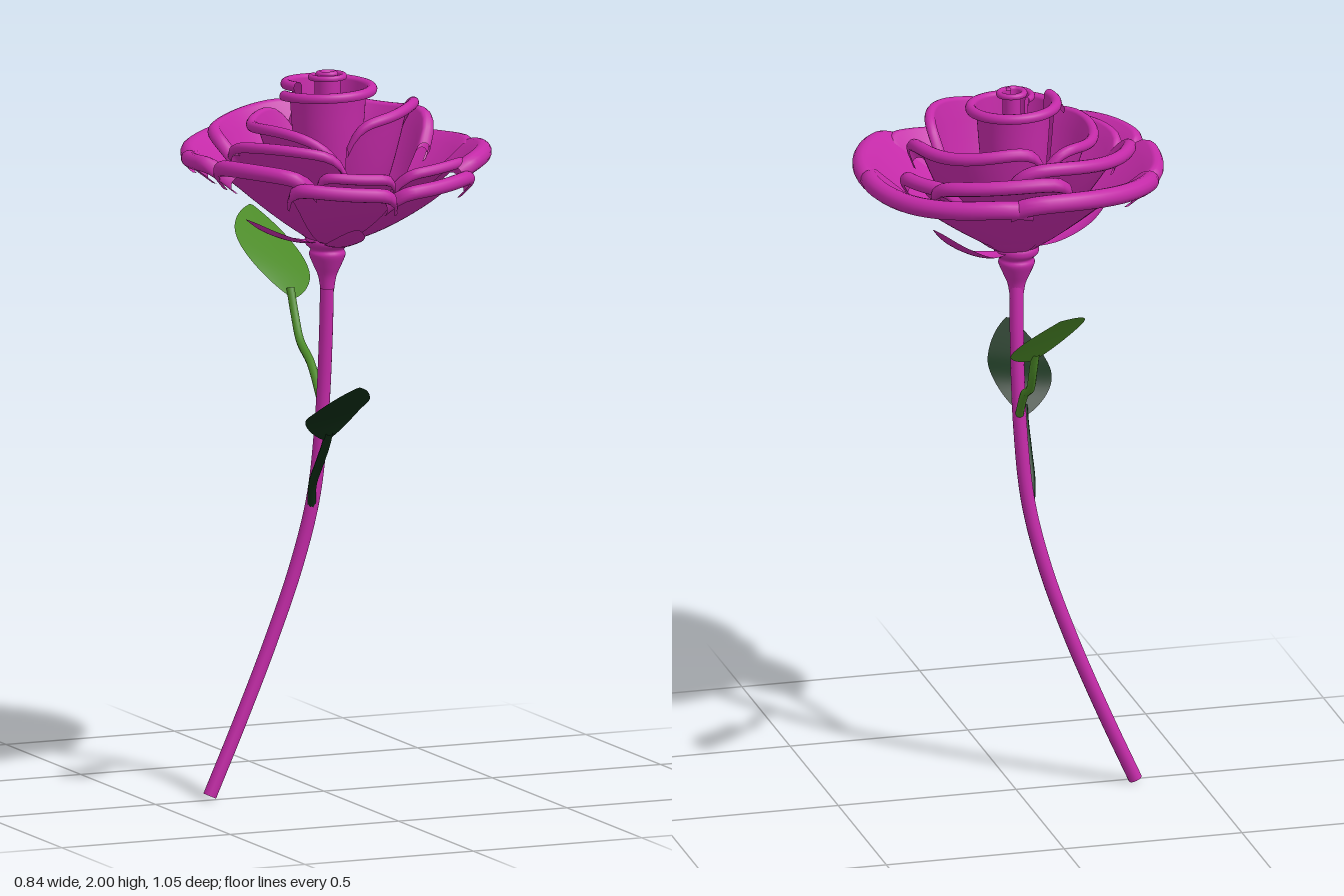
import * as THREE from 'three';

const material = (color) => new THREE.MeshStandardMaterial({ color, side: THREE.DoubleSide });
const V = (x, y, z) => new THREE.Vector3(x, y, z);
const path = (...pts) => new THREE.CatmullRomCurve3(pts.map((p) => V(...p)));
const DEG = Math.PI / 180;

// Surface from a rule: fn(i, j) gives the point of row i, column j
function grid(rows, cols, fn) {
  const pos = [], index = [];
  for (let i = 0; i <= rows; i++) {
    for (let j = 0; j <= cols; j++) {
      pos.push(...fn(i, j).toArray());
      if (i < rows && j < cols) {
        const a = i * (cols + 1) + j, b = a + cols + 1;
        index.push(a, b, a + 1, b, b + 1, a + 1);
      }
    }
  }
  const g = new THREE.BufferGeometry();
  g.setAttribute('position', new THREE.Float32BufferAttribute(pos, 3));
  g.setIndex(index);
  g.computeVertexNormals();
  return g;
}

// Petal: a cup sector between two angles, with rounded corners and a rolled lip.
// Its radius runs from R0 to R1, and p bends the profile from cone to cup.
function petalGeometry({ a0, a1, R0, R1 = R0, H, p = 1.2, lip = 0.015, round = 0.16, y0 = 1.53, r0 = 0.03, drop = 0, center = [0, 0.08] }) {
  const rows = Math.max(16, Math.ceil((a1 - a0) / 5)), wall = 14, roll = 8;
  return grid(rows, wall + roll, (i, j) => {
    const u = i / rows, e = Math.abs(2 * u - 1);
    const a = (a0 + (a1 - a0) * u) * DEG;
    const k = 1 - round * e ** 7;
    const R = R0 + (R1 - R0) * u;
    const top = H - drop * u + (round ? 0.012 * Math.sin(3 * a) : 0);
    const v = k * Math.min(1, j / wall);
    let r = r0 + (R - r0) * v;
    let y = y0 + (top - y0) * v ** p;
    // rolled lip: short steps that turn outwards and down
    let slope = Math.atan2((top - y0) * p * k ** (p - 1), R - r0);
    for (let n = 0; n < j - wall; n++) {
      slope -= 26 * DEG;
      r += Math.cos(slope) * lip * 0.45;
      y += Math.sin(slope) * lip * 0.45;
    }
    const f = Math.min(1, v * 1.5);
    const cx = -0.02 + (center[0] + 0.02) * f, cz = 0.07 + (center[1] - 0.07) * f;
    return V(cx + r * Math.cos(a), y, cz + r * Math.sin(a));
  });
}

// Pointed blade along a curve; side is its half-width vector, cup lifts the edges
function bladeGeometry(curve, side, cup) {
  const s = V(...side);
  return grid(20, 8, (i, j) => {
    const t = i / 20, w = (j / 8) * 2 - 1;
    const width = Math.max(0.02, Math.sin(Math.PI * t)) ** 0.75;
    const normal = s.clone().cross(curve.getTangent(t)).normalize();
    if (normal.y < 0) normal.negate();
    return curve.getPoint(t).addScaledVector(s, w * width).addScaledVector(normal, cup * w * w * width);
  });
}

export function createModel() {
  const model = new THREE.Group();
  const pink = material(0xc42aa8), green = material(0x4c8a28), darkGreen = material(0x0e2d15);
  const add = (name, geometry, mat, parent = model) => {
    const mesh = new THREE.Mesh(geometry, mat);
    mesh.name = name;
    parent.add(mesh);
    return mesh;
  };

  // Stem with a closed foot
  const stem = path([-0.33, 0.008, -0.02], [-0.245, 0.2, -0.017], [-0.155, 0.42, -0.01], [-0.083, 0.63, 0.003],
    [-0.039, 0.82, 0.018], [-0.02, 1.03, 0.03], [-0.016, 1.25, 0.048], [-0.02, 1.5, 0.07]);
  add('stem', new THREE.TubeGeometry(stem, 60, 0.019, 14), pink);
  const foot = add('stemFoot', new THREE.CircleGeometry(0.019, 14), pink);
  foot.position.copy(stem.getPoint(0));
  foot.lookAt(stem.getPoint(0).sub(stem.getTangent(0)));

  // Swelling under the flower
  const bulb = [[0.019, 1.4], [0.025, 1.435], [0.038, 1.465], [0.05, 1.495], [0.046, 1.51], [0.06, 1.525], [0.058, 1.545], [0.03, 1.56]];
  const bulbMesh = add('receptacle', new THREE.LatheGeometry(
    new THREE.SplineCurve(bulb.map((q) => new THREE.Vector2(...q))).getPoints(28), 28), pink);
  bulbMesh.position.set(-0.02, 0, 0.068);

  // Sepals, spreading from the swelling
  const sepals = new THREE.Group();
  sepals.name = 'sepals';
  model.add(sepals);
  for (const [x, y, z] of [[-0.27, 1.62, 0.06], [-0.08, 1.63, 0.38], [0.28, 1.67, -0.17]]) {
    const l = Math.hypot(x, z);
    const at = (f, h) => [-0.02 + x * f, h, 0.07 + z * f];
    const spine = path(at(0.08, 1.53), at(0.4, 1.54), at(0.75, 1.54 + (y - 1.54) * 0.45), at(1, y));
    add('sepal', bladeGeometry(spine, [(-z / l) * 0.047, 0, (x / l) * 0.047], 0.01), pink, sepals);
  }

  // Flower: outer, middle and inner petals, then the rolled heart
  const flower = new THREE.Group();
  flower.name = 'flower';
  model.add(flower);
  const petals = {
    outerPetal: [
      { a0: -85, a1: 6, R0: 0.375, R1: 0.385, H: 1.795, round: 0.06, lip: 0.026 },
      { a0: -3, a1: 54, R0: 0.385, H: 1.79, round: 0.08, lip: 0.026 },
      { a0: 44, a1: 91, R0: 0.4, R1: 0.385, H: 1.755, p: 1.5, lip: 0.02 },
      { a0: 88, a1: 134, R0: 0.42, H: 1.76, p: 1.5, lip: 0.02 },
      { a0: 122, a1: 174, R0: 0.41, R1: 0.385, H: 1.79, lip: 0.022 },
      { a0: 168, a1: 211, R0: 0.39, H: 1.795, round: 0.2, lip: 0.022 },
      { a0: 203, a1: 284, R0: 0.395, R1: 0.385, H: 1.805, round: 0.08, lip: 0.026 },
    ],
    middlePetal: [
      { a0: -108, a1: -35, R0: 0.35, H: 1.84, p: 1.4, lip: 0.02 },
      { a0: -50, a1: -12, R0: 0.32, H: 1.825, p: 1.4, lip: 0.02 },
      { a0: 42, a1: 82, R0: 0.38, R1: 0.32, H: 1.785, p: 1.4 },
      { a0: 84, a1: 124, R0: 0.35, H: 1.785, p: 1.45 },
      { a0: 106, a1: 188, R0: 0.25, R1: 0.31, H: 1.825, p: 1.45 },
      { a0: 182, a1: 287, R0: 0.325, R1: 0.285, H: 1.86, p: 1.5, lip: 0.019 },
    ],
    innerPetal: [
      { a0: -107, a1: 14, R0: 0.2, R1: 0.265, H: 1.88, p: 1.9, lip: 0.018 },
      { a0: 106, a1: 258, R0: 0.235, R1: 0.205, H: 1.845, drop: -0.045, p: 1.9 },
      { a0: -12, a1: 104, R0: 0.205, R1: 0.18, H: 1.908, p: 2.1, round: 0.12 },
    ],
    heart: [
      { a0: 160, a1: 545, R0: 0.098, R1: 0.11, H: 1.968, drop: 0.03, p: 3.2, round: 0, y0: 1.58, center: [-0.008, 0.045] },
      { a0: 60, a1: 600, R0: 0.012, R1: 0.043, H: 1.993, drop: 0.012, p: 5, round: 0, lip: 0.009, y0: 1.6, r0: 0.008, center: [-0.008, 0.055] },
    ],
  };
  for (const [name, list] of Object.entries(petals)) {
    for (const spec of list) add(name, petalGeometry(spec), pink, flower);
  }

  // Two leaves, each a stalk and a blade
  const leaf = (name, mat, stalk, blade, side, cup) => {
    const group = new THREE.Group();
    group.name = name;
    add('stalk', new THREE.TubeGeometry(path(...stalk), 24, 0.012, 8), mat, group);
    add('blade', bladeGeometry(path(...blade), side, cup), mat, group);
    model.add(group);
  };
  leaf('backLeaf', green,
    [[-0.018, 1.06, 0.035], [-0.01, 1.115, -0.02], [0, 1.17, -0.09], [0.005, 1.215, -0.17], [0.012, 1.275, -0.22], [0.014, 1.345, -0.255]],
    [[0.014, 1.32, -0.24], [0.012, 1.395, -0.315], [0.012, 1.465, -0.415], [0.02, 1.53, -0.53]],
    [0.1, -0.036, 0], -0.006);
  leaf('frontLeaf', darkGreen,
    [[-0.045, 0.79, 0.02], [-0.058, 0.86, 0.055], [-0.066, 0.93, 0.12], [-0.072, 0.99, 0.175], [-0.076, 1.03, 0.205]],
    [[-0.076, 1.005, 0.19], [-0.085, 1.075, 0.25], [-0.092, 1.125, 0.34], [-0.1, 1.195, 0.455]],
    [0.088, 0.015, 0], 0.004);

  return model;
}
